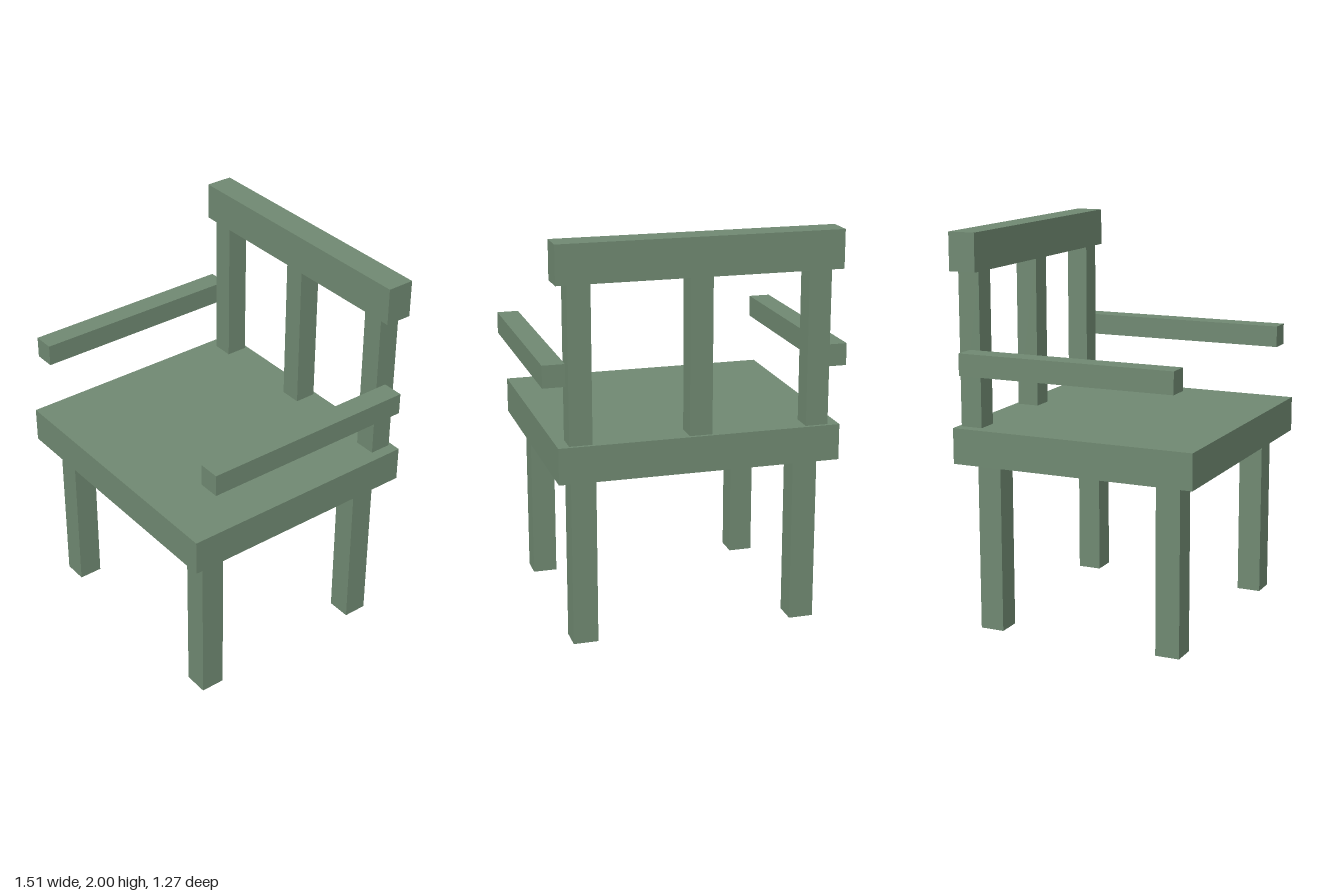
import * as THREE from 'three';

export function createModel() {
  const chair = new THREE.Group();
  chair.name = 'armchair';
  const green = new THREE.MeshStandardMaterial({ color: 0x6f8871 });
  green.name = 'sage green';

  // Box given by its size and centre
  const addBox = (name, [w, h, d], [x, y, z]) => {
    const mesh = new THREE.Mesh(new THREE.BoxGeometry(w, h, d), green);
    mesh.name = name;
    mesh.position.set(x, y, z);
    chair.add(mesh);
  };

  // Seat slab and top rail of the back
  addBox('seat', [1.4, 0.18, 1.266], [0, 0.95, 0]);
  addBox('topRail', [1.4, 0.19, 0.14], [0, 1.905, -0.563]);

  // Middle upright of the back
  addBox('middlePost', [0.112, 0.77, 0.112], [0, 1.425, -0.56]);

  for (const [side, s] of [['left', 1], ['right', -1]]) {
    // Outer upright, with the armrest fixed to its outer face
    addBox(side + 'Post', [0.112, 0.77, 0.112], [s * 0.588, 1.425, -0.56]);
    addBox(side + 'Armrest', [0.11, 0.11, 1.12], [s * 0.7, 1.37, 0]);

    // Front and back legs
    addBox(side + 'FrontLeg', [0.124, 0.862, 0.124], [s * 0.56, 0.431, 0.478]);
    addBox(side + 'BackLeg', [0.124, 0.862, 0.124], [s * 0.56, 0.431, -0.478]);
  }
  return chair;
}
